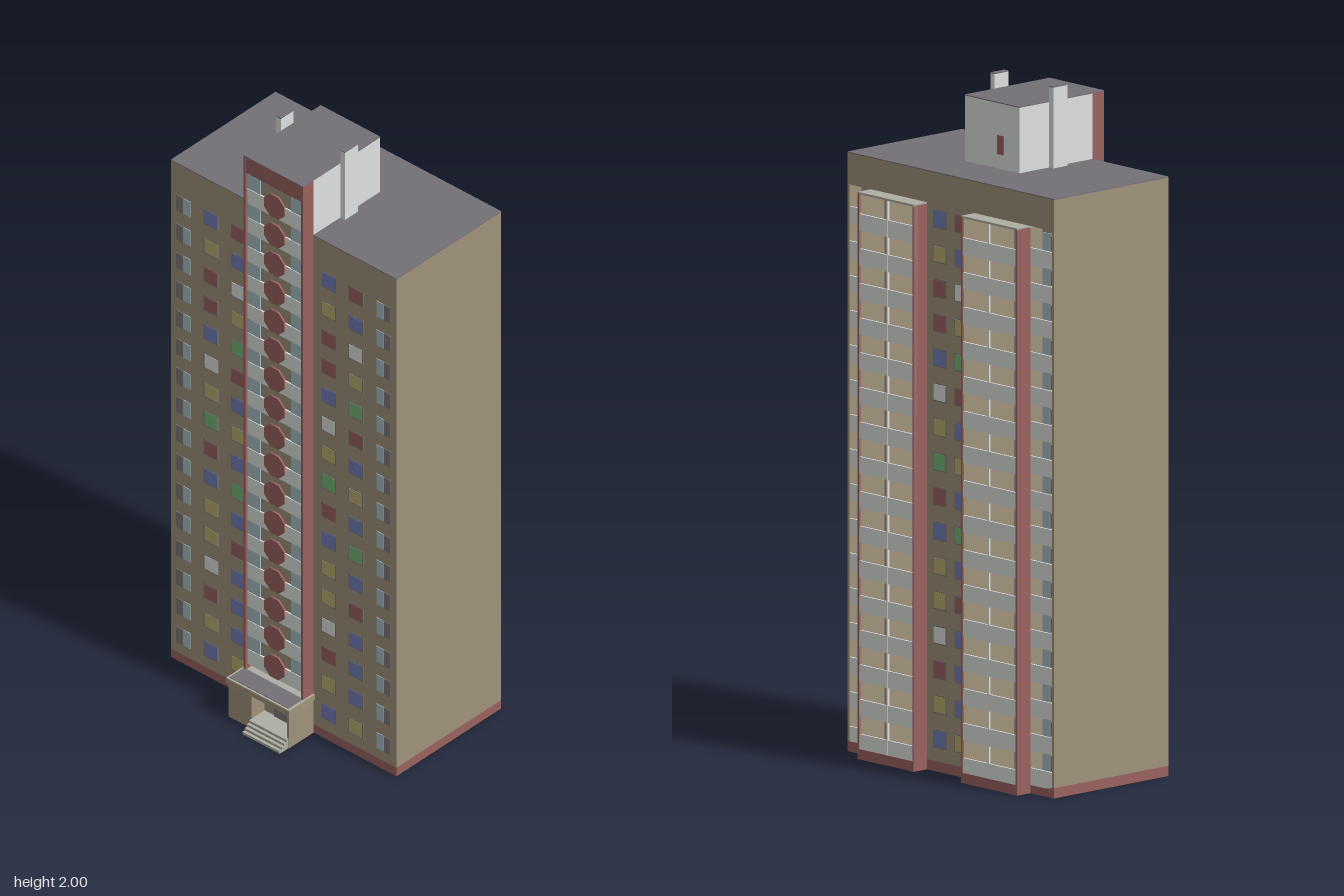
import * as THREE from 'three';

const mat = (name, color) => {
  const m = new THREE.MeshStandardMaterial({ color });
  m.name = name;
  return m;
};

export function createModel() {
  const root = new THREE.Group();
  root.name = 'apartmentTower';
  const beige = mat('beige wall', 0x9e927b), red = mat('brick red', 0x9a625e);
  const dark = mat('dark roofing', 0x737175), light = mat('light concrete', 0xdee1df);
  const slab = mat('grey slab', 0xaeaea4), blue = mat('blue', 0x747eb8);
  const yellow = mat('yellow', 0xb8ad6f), green = mat('green', 0x73b877);
  const glass = mat('pale glass', 0xa6bfc6), grey = mat('dark window', 0x7c7a77);
  const palette = { b: blue, y: yellow, r: red, w: light, g: green };

  // Box given by its limits on each axis
  function box(name, m, x0, x1, y0, y1, z0, z1, parent = root) {
    const mesh = new THREE.Mesh(new THREE.BoxGeometry(x1 - x0, y1 - y0, Math.abs(z1 - z0)), m);
    mesh.position.set((x0 + x1) / 2, (y0 + y1) / 2, (z0 + z1) / 2);
    mesh.name = name;
    parent.add(mesh);
    return mesh;
  }
  function group(name) {
    const g = new THREE.Group();
    g.name = name;
    root.add(g);
    return g;
  }

  const FLOORS = 16, STEP = 0.1018, BASE = 0.03, EAVE = 1.665, TOP = 1.76;
  const floorY = i => BASE + i * STEP;

  // Hollow main volume, open underneath
  box('rearWall', beige, -0.18, -0.172, BASE, EAVE, -0.435, 0.435);
  box('recessedWall', beige, 0.212, 0.22, BASE, EAVE, -0.435, 0.435);
  box('centreBay', beige, 0.212, 0.268, BASE, EAVE, -0.1, 0.1);
  box('topBand', beige, -0.18, 0.268, EAVE, TOP - 0.003, -0.436, 0.436);
  box('roof', dark, -0.18, 0.268, TOP - 0.003, TOP, -0.436, 0.436);
  for (const s of [-1, 1]) {
    box('endWall', beige, -0.18, 0.268, BASE, EAVE, s * 0.428, s * 0.436);
    box('basePlinthEnd', red, -0.18, 0.268, 0, BASE, s * 0.428, s * 0.436);
  }
  box('basePlinthFront', red, 0.26, 0.268, 0, BASE, -0.428, 0.428);
  box('basePlinthRear', red, -0.18, -0.172, 0, BASE, -0.428, 0.428);

  // Balconies and loggias, mirrored about the centre bay
  for (const s of [-1, 1]) {
    const g = group('balconies');
    // Side fins: red outer face, beige lining and root
    box('innerFin', red, 0.268, 0.32, 0, EAVE - 0.004, s * 0.1, s * 0.103, g);
    box('innerFinLining', beige, 0.22, 0.314, BASE, EAVE - 0.006, s * 0.1, s * 0.106, g);
    box('outerFin', red, 0.268, 0.32, 0, EAVE - 0.004, s * 0.334, s * 0.337, g);
    box('outerFinLining', beige, 0.22, 0.314, BASE, EAVE - 0.006, s * 0.331, s * 0.336, g);
    for (const z of [0.1, 0.331])
      box('finEdge', red, 0.314, 0.32, 0, EAVE - 0.004, s * z, s * (z + 0.006), g);
    box('balconyRoof', slab, 0.22, 0.32, EAVE - 0.006, EAVE, s * 0.1, s * 0.337, g);
    box('divider', beige, 0.22, 0.312, BASE, EAVE - 0.006, s * 0.2115, s * 0.2155, g);
    box('dividerEdge', light, 0.312, 0.319, BASE, EAVE - 0.006, s * 0.211, s * 0.216, g);
    box('balconyBase', red, 0.268, 0.319, 0, BASE, s * 0.103, s * 0.334, g);
    for (let i = 0; i < FLOORS; i++) {
      const y = floorY(i);
      box('balconyFloor', grey, 0.22, 0.312, y - 0.006, y, s * 0.106, s * 0.331, g);
      box('balconyParapet', light, 0.312, 0.318, y - 0.006, y + 0.044, s * 0.106, s * 0.331, g);
      box('loggiaFloor', grey, 0.22, 0.262, y - 0.006, y, s * 0.336, s * 0.428, g);
      box('loggiaParapet', light, 0.262, 0.268, y - 0.006, y + 0.044, s * 0.336, s * 0.428, g);
      // Balcony doors and windows on the recessed wall
      for (const z of [0.22, 0.34])
        box('balconyDoor', glass, 0.22, 0.223, y, y + 0.084, s * z, s * (z + 0.034), g);
      for (const [z0, z1] of [[0.13, 0.17], [0.256, 0.297], [0.376, 0.405]])
        box('balconyWindow', grey, 0.22, 0.223, y + 0.035, y + 0.076, s * z0, s * z1, g);
    }
  }

  // Columns of framed coloured windows, listed from the ground up
  const columnA = 'byrwyybrgywbrryb', columnB = 'ybbbrbgbybrgywbr';
  const wins = group('colouredWindows');
  function windowColumn(codes, x, z) {
    [...codes].forEach((c, i) => {
      const y = floorY(i) + 0.066;
      box('windowFrame', grey, x - 0.001, x + 0.001, y - 0.027, y + 0.027, z - 0.028, z + 0.028, wins);
      box('window', palette[c], x - 0.002, x + 0.002, y - 0.0235, y + 0.0235, z - 0.0245, z + 0.0245, wins);
    });
  }
  windowColumn(columnA, 0.268, 0.045);
  windowColumn(columnB, 0.268, -0.045);

  // Rear columns, each with coloured panels lining the inside of the wall
  const lining = group('interiorLining');
  for (const [codes, z] of [[columnA, -0.28], [columnB, -0.175], [columnA, 0.175], [columnB, 0.28]]) {
    windowColumn(codes, -0.18, z);
    [...codes].forEach((c, i) => box('innerPanel', palette[c], -0.172, -0.168,
      floorY(i), floorY(i + 1), z - 0.0525, z + 0.0525, lining));
  }
  box('innerGlassPanel', glass, -0.172, -0.168, BASE, EAVE, -0.1225, 0.1225, lining);
  for (const s of [-1, 1])
    for (let i = 0; i < FLOORS; i++) {
      const y = floorY(i);
      box('rearWindow', glass, -0.182, -0.179, y + 0.035, y + 0.09, s * 0.36, s * 0.386, wins);
      box('rearWindow', grey, -0.182, -0.179, y + 0.035, y + 0.09, s * 0.388, s * 0.415, wins);
    }

  // Rear stair tower and rooftop machine room
  const tower = group('stairTower');
  const HEAD = 1.955;
  box('machineRoom', light, -0.18, 0.106, TOP, HEAD - 0.003, -0.115, 0.115, tower);
  box('machineRoomRoof', dark, -0.225, 0.106, HEAD - 0.003, HEAD, -0.115, 0.115, tower);
  box('towerLintel', red, -0.223, -0.18, HEAD - 0.06, HEAD - 0.003, -0.107, 0.107, tower);
  box('towerBackWall', beige, -0.186, -0.179, 0, HEAD - 0.06, -0.107, 0.107, tower);
  box('roofDoor', red, 0.105, 0.107, 1.802, 1.858, -0.05, -0.022, tower);
  for (const s of [-1, 1]) {
    box('towerFin', red, -0.225, -0.18, 0, HEAD - 0.003, s * 0.107, s * 0.115, tower);
    box('ventShaft', light, -0.065, -0.01, TOP, 1.997, s * 0.115, s * 0.133, tower);
    box('ventCap', dark, -0.065, -0.01, 1.997, 2, s * 0.115, s * 0.133, tower);
  }
  const octagon = new THREE.CylinderGeometry(0.042, 0.042, 0.006, 8).rotateZ(Math.PI / 2);
  octagon.rotateX(Math.PI / 8);
  for (let i = 1; i < FLOORS + 2; i++) {
    const y = floorY(i) + 0.03;
    box('landing', grey, -0.212, -0.186, y - 0.006, y, -0.107, 0.107, tower);
    box('landingParapet', light, -0.217, -0.212, y - 0.006, y + 0.046, -0.107, 0.107, tower);
    for (const s of [-1, 1])
      box('landingScreen', glass, -0.215, -0.211, y + 0.046, y + 0.096, s * 0.06, s * 0.107, tower);
    const disc = new THREE.Mesh(octagon, red);
    disc.name = 'octagonPanel';
    disc.position.set(-0.218, y + 0.035, 0);
    tower.add(disc);
  }

  // Entrance porch with steps
  const porch = group('entrancePorch');
  box('canopy', slab, -0.29, -0.18, 0.118, 0.138, -0.122, 0.12, porch);
  box('canopyRoof', dark, -0.284, -0.222, 0.137, 0.14, -0.115, 0.113, porch);
  box('canopyFascia', beige, -0.291, -0.18, 0.12, 0.136, -0.123, 0.121, porch);
  box('porchRoom', beige, -0.285, -0.18, 0, 0.118, -0.118, -0.03, porch);
  box('porchSideWall', beige, -0.285, -0.18, 0, 0.118, 0.108, 0.116, porch);
  box('porchFloor', slab, -0.285, -0.18, 0, 0.034, -0.03, 0.108, porch);
  box('entranceWall', beige, -0.228, -0.18, 0.034, 0.118, -0.03, 0.108, porch);
  box('entranceDoor', grey, -0.232, -0.228, 0.034, 0.105, 0.01, 0.07, porch);
  for (let i = 0; i < 4; i++)
    box('step', slab, -0.323 + i * 0.0095, -0.285, i * 0.0085, (i + 1) * 0.0085, -0.03, 0.114, porch);

  return root;
}
